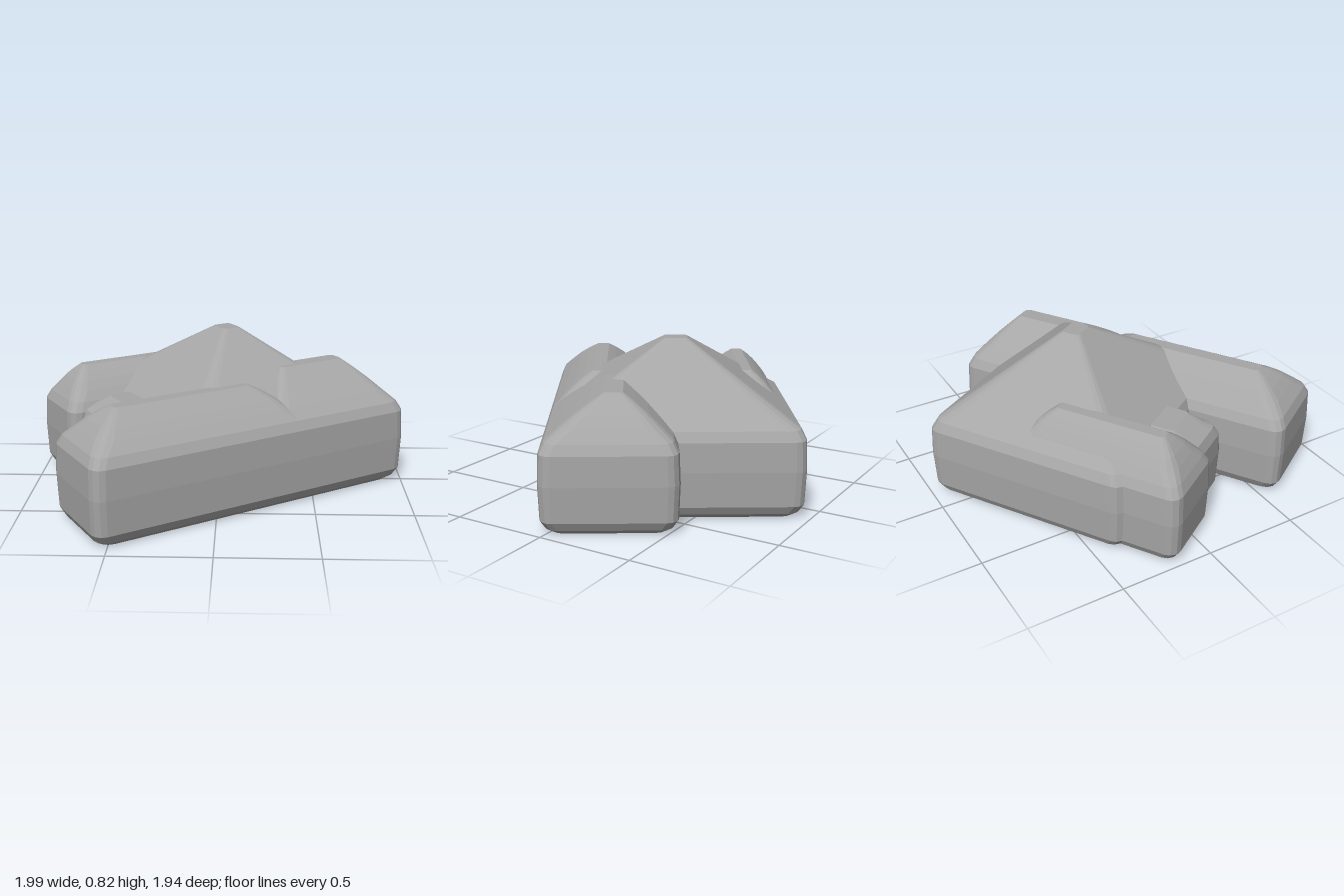
import * as THREE from 'three';

// Rounded rectangle loop, counted from the +x side towards +z
function loop(x0, x1, z0, z1, y, radius) {
  const r = Math.min(radius, (x1 - x0) / 2, (z1 - z0) / 2);
  const corners = [[x1 - r, z1 - r], [x0 + r, z1 - r], [x0 + r, z0 + r], [x1 - r, z0 + r]];
  const points = [];
  corners.forEach(([cx, cz], i) => {
    for (let k = 0; k <= 3; k++) {
      const a = (i + k / 3) * Math.PI / 2;
      points.push([cx + r * Math.cos(a), y, cz + r * Math.sin(a)]);
    }
  });
  return points;
}

// Closed skin over a stack of loops
function skin(loops) {
  const n = loops[0].length, index = [];
  const positions = loops.flat(2);
  for (let i = 0; i < loops.length - 1; i++) {
    for (let j = 0; j < n; j++) {
      const a = i * n + j, b = i * n + (j + 1) % n;
      index.push(a, a + n, b, b, a + n, b + n);
    }
  }
  const last = (loops.length - 1) * n;
  for (let j = 1; j < n - 1; j++) {
    index.push(0, j, j + 1, last, last + j + 1, last + j);
  }
  const geometry = new THREE.BufferGeometry();
  geometry.setAttribute('position', new THREE.Float32BufferAttribute(positions, 3));
  geometry.setIndex(index);
  geometry.computeVertexNormals();
  return geometry;
}

// Block with softened walls and a hipped roof rising to a small ridge rectangle
function wing({ base, ridge, eave = 0.42, top, bulge = 0 }) {
  const [x0, x1, z0, z1] = base;
  const walls = [[0, 0.06], [0.025, 0.03], [0.07, 0.006], [0.25, 0], [eave - 0.02, 0.006], [eave + 0.03, 0.03]];
  const loops = walls.map(([y, d]) => loop(x0 + d, x1 - d, z0 + d, z1 - d, y, 0.06));
  const d = 0.03, start = [x0 + d, x1 - d, z0 + d, z1 - d];
  for (const t of [0.25, 0.5, 0.75, 0.92, 1]) {
    const rect = start.map((v, i) => THREE.MathUtils.lerp(v, ridge[i], t));
    const y = THREE.MathUtils.lerp(eave + 0.03, top, t) + bulge * Math.sin(Math.PI * t);
    loops.push(loop(...rect, y, 0.06 * (1 - t) + 0.02));
  }
  return skin(loops);
}

export function createModel() {
  const stone = new THREE.MeshStandardMaterial({ color: 0xa6a6a6, flatShading: true });
  stone.name = 'grey stone';

  // base and ridge are [x0, x1, z0, z1] in the building's own axes
  const parts = {
    mainHall: { base: [-0.47, 0.66, -0.76, 0.545], ridge: [0.07, 0.17, -0.19, -0.07], top: 0.82 },
    frontLeftWing: { base: [-0.985, 0.25, 0.03, 0.545], ridge: [-0.76, 0, 0.24, 0.31], top: 0.61, bulge: 0.015 },
    frontRightWing: { base: [0, 0.86, -0.13, 0.545], ridge: [0.25, 0.64, 0.14, 0.23], top: 0.65, bulge: 0.01 },
    rearWing: { base: [-0.745, 0.2, -0.73, -0.3], ridge: [-0.58, 0, -0.55, -0.49], top: 0.61, bulge: 0.015 },
    lowAnnex: { base: [-0.68, -0.1, -0.42, 0.0], ridge: [-0.52, -0.2, -0.3, -0.1], eave: 0.38, top: 0.48 },
  };

  const building = new THREE.Group();
  building.name = 'building';
  for (const [name, spec] of Object.entries(parts)) {
    const mesh = new THREE.Mesh(wing(spec), stone);
    mesh.name = name;
    building.add(mesh);
  }
  building.rotation.y = 0.564;

  const model = new THREE.Group();
  model.name = 'hippedRoofHouse';
  model.add(building);
  return model;
}
